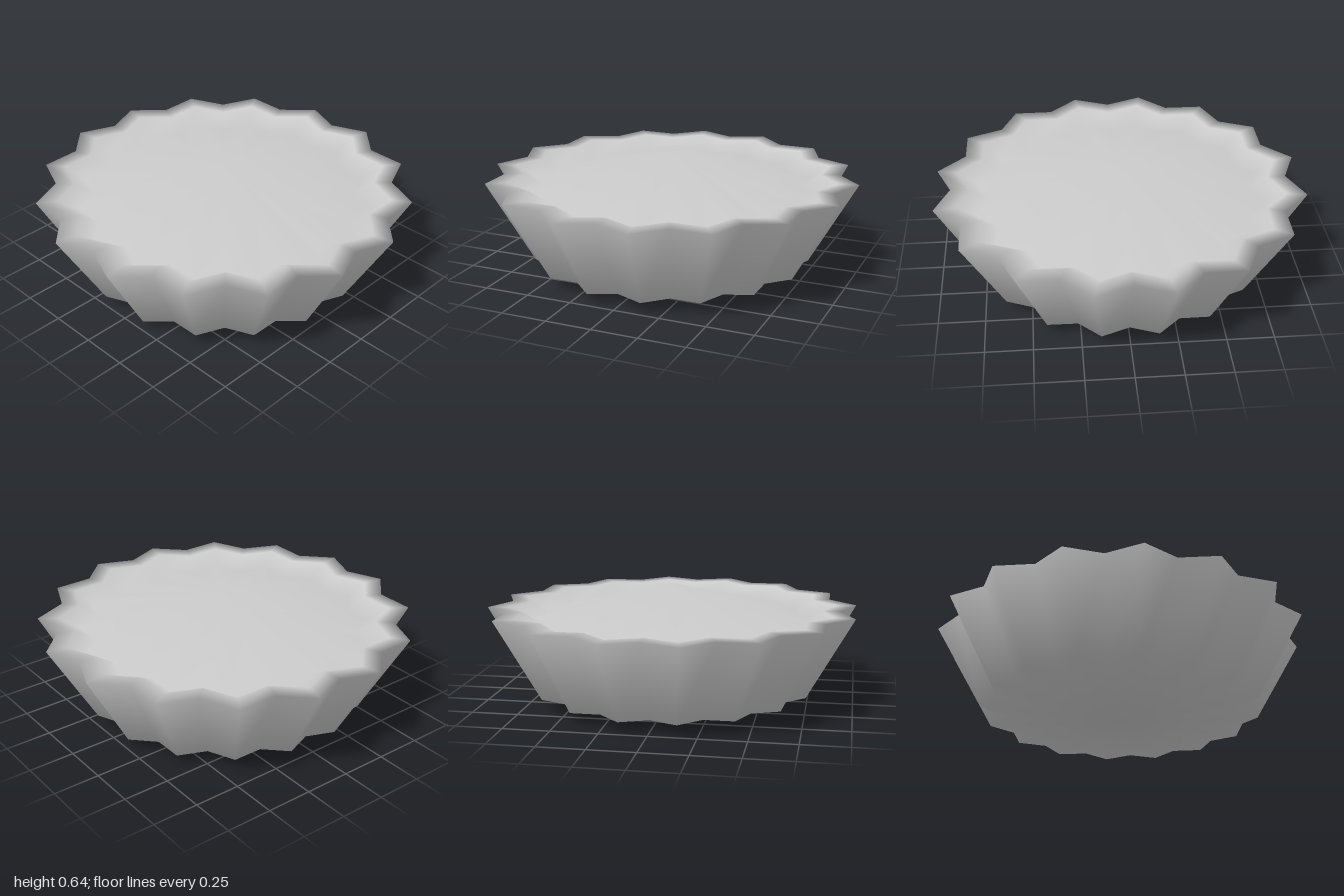
import * as THREE from 'three';

const FLUTES = 16;
const SIDES = FLUTES * 2;
const VALLEY = 0.902; // valley radius relative to tip radius

// Tip radius and height of each fluted ring, from the base edge up to the filling
const RINGS = [
  [0.765, 0.065], // base edge
  [1.02, 0.515], // outer rim
  [0.91, 0.515], // inner rim
  [0.795, 0.447], // edge of the filling
];
const BASE_Y = 0;
const PEAK_Y = 0.645;

// Closed smooth body: base point, star-shaped rings, filling peak
function flutedBody() {
  const positions = [0, BASE_Y, 0];
  for (const [radius, y] of RINGS) {
    for (let i = 0; i < SIDES; i++) {
      const a = (i / SIDES) * Math.PI * 2;
      const r = i % 2 ? radius : radius * VALLEY;
      positions.push(r * Math.sin(a), y, r * Math.cos(a));
    }
  }
  positions.push(0, PEAK_Y, 0);

  const at = (ring, i) => 1 + ring * SIDES + (i % SIDES);
  const last = RINGS.length - 1;
  const peak = 1 + RINGS.length * SIDES;
  const index = [];
  for (let i = 0; i < SIDES; i++) {
    index.push(0, at(0, i + 1), at(0, i)); // shallow base cone
    for (let k = 0; k < last; k++) { // outer wall, flat rim, inner lip
      index.push(at(k, i), at(k, i + 1), at(k + 1, i + 1));
      index.push(at(k, i), at(k + 1, i + 1), at(k + 1, i));
    }
    index.push(at(last, i), at(last, i + 1), peak); // domed filling
  }

  const geometry = new THREE.BufferGeometry();
  geometry.setAttribute('position', new THREE.Float32BufferAttribute(positions, 3));
  geometry.setIndex(index);
  geometry.computeVertexNormals();
  return geometry;
}

export function createModel() {
  const group = new THREE.Group();
  group.name = 'flutedTart';
  const material = new THREE.MeshStandardMaterial({ color: 0xcccccc });
  const body = new THREE.Mesh(flutedBody(), material);
  body.name = 'crustAndFilling';
  group.add(body);
  return group;
}
